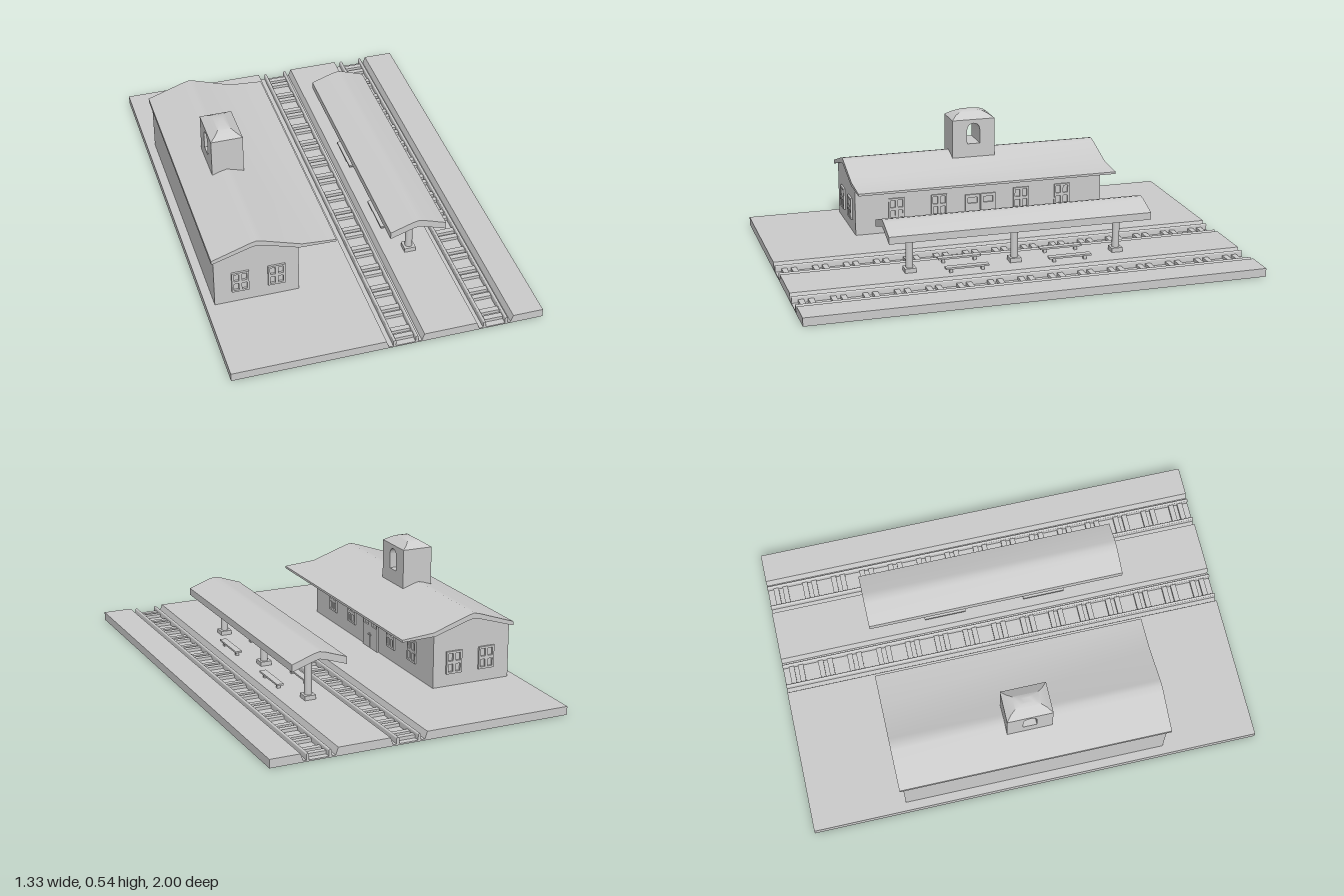
import * as THREE from 'three';
import { toCreasedNormals } from 'three/addons/utils/BufferGeometryUtils.js';

const mat = new THREE.MeshStandardMaterial({ color: 0xcccccc });

function add(parent, name, geo, x = 0, y = 0, z = 0) {
  const m = new THREE.Mesh(geo, mat);
  m.name = name;
  m.position.set(x, y, z);
  parent.add(m);
  return m;
}
const box = (parent, name, w, h, d, x, y, z) => add(parent, name, new THREE.BoxGeometry(w, h, d), x, y, z);
const shapeOf = (pts) => new THREE.Shape(pts.map(([x, y]) => new THREE.Vector2(x, y)));

// extrude an xy outline along z, centred on z = 0
function extrude(shape, depth) {
  const g = new THREE.ExtrudeGeometry(shape, { depth, bevelEnabled: false, curveSegments: 8 });
  g.translate(0, 0, -depth / 2);
  return toCreasedNormals(g, 0.5);
}

function rectPath(x0, y0, x1, y1) {
  return new THREE.Path([[x0, y0], [x0, y1], [x1, y1], [x1, y0]].map(([x, y]) => new THREE.Vector2(x, y)));
}

// four-pane window frame, facing +z
function windowGeometry() {
  const w = 0.037, h = 0.05;
  const s = shapeOf([[-w, -h], [w, -h], [w, h], [-w, h]]);
  for (const x of [-1, 1]) for (const y of [-1, 1]) {
    const cx = x * 0.0175, cy = y * 0.024;
    s.holes.push(rectPath(cx - 0.011, cy - 0.017, cx + 0.011, cy + 0.017));
  }
  return extrude(s, 0.014);
}

// one door leaf with an upper pane, facing +z
function doorGeometry() {
  const s = shapeOf([[-0.035, 0], [0.035, 0], [0.035, 0.146], [-0.035, 0.146]]);
  s.holes.push(rectPath(-0.022, 0.105, 0.022, 0.132));
  return extrude(s, 0.012);
}

// tapering rectangular roof from rings of [halfX, halfZ, y]
function hipRoof(rings) {
  const pos = [];
  const corner = ([hx, hz, y], k) => [[hx, y, hz], [hx, y, -hz], [-hx, y, -hz], [-hx, y, hz]][k % 4];
  for (let i = 0; i < rings.length - 1; i++) for (let k = 0; k < 4; k++) {
    const a = corner(rings[i], k), b = corner(rings[i], k + 1);
    const c = corner(rings[i + 1], k + 1), d = corner(rings[i + 1], k);
    pos.push(...a, ...b, ...c, ...a, ...c, ...d);
  }
  const [p, q, r, s] = [0, 1, 2, 3].map((k) => corner(rings[rings.length - 1], k));
  pos.push(...p, ...q, ...r, ...p, ...r, ...s);
  const g = new THREE.BufferGeometry();
  g.setAttribute('position', new THREE.Float32BufferAttribute(pos, 3));
  return toCreasedNormals(g, 0.6);
}

function buildStation() {
  const g = new THREE.Group();
  g.name = 'stationHouse';
  // gabled walls
  add(g, 'walls', extrude(shapeOf([[-0.629, 0.03], [-0.265, 0.03], [-0.265, 0.278], [-0.447, 0.338], [-0.629, 0.28]]), 1.166));
  // roof running out into a flatter awning
  add(g, 'roof', extrude(shapeOf([
    [-0.64, 0.271], [-0.475, 0.323], [-0.447, 0.329], [-0.42, 0.323], [-0.265, 0.274], [-0.107, 0.27],
    [-0.107, 0.28], [-0.255, 0.291], [-0.42, 0.346], [-0.447, 0.353], [-0.475, 0.346], [-0.64, 0.289],
  ]), 1.2));
  // curved awning brackets
  const curve = new THREE.QuadraticBezierCurve3(
    new THREE.Vector3(-0.267, 0.243, 0), new THREE.Vector3(-0.22, 0.242, 0), new THREE.Vector3(-0.208, 0.275, 0));
  for (const z of [-0.5, -0.3, -0.1, 0.1, 0.3, 0.5])
    add(g, 'awningBracket', new THREE.TubeGeometry(curve, 8, 0.006, 6), 0, 0, z);
  // gable windows at both ends
  const win = windowGeometry();
  for (const x of [-0.518, -0.362]) for (const z of [-0.585, 0.585]) add(g, 'gableWindow', win, x, 0.143, z);
  // platform-side windows and double door
  for (const z of [-0.393, -0.195, 0.195, 0.393])
    add(g, 'platformWindow', win, -0.265, 0.147, z).rotation.y = Math.PI / 2;
  const door = doorGeometry();
  for (const s of [-1, 1]) {
    add(g, 'doorLeaf', door, -0.264, 0.037, s * 0.037).rotation.y = Math.PI / 2;
    add(g, 'doorKnob', new THREE.SphereGeometry(0.004, 8, 6), -0.256, 0.1, s * 0.01);
  }
  // tower with an arched opening right through
  const face = shapeOf([[-0.1, 0.31], [0.1, 0.31], [0.1, 0.506], [-0.1, 0.506]]);
  const arch = new THREE.Path();
  arch.moveTo(-0.03, 0.392);
  arch.lineTo(0.03, 0.392);
  arch.lineTo(0.03, 0.458);
  arch.absarc(0, 0.458, 0.03, 0, Math.PI, false);
  arch.closePath();
  face.holes.push(arch);
  add(g, 'tower', extrude(face, 0.14), -0.44).rotation.y = Math.PI / 2;
  add(g, 'towerRoof', hipRoof([[0.07, 0.1, 0.506], [0.045, 0.078, 0.522], [0.028, 0.056, 0.533], [0.016, 0.03, 0.54], [0.01, 0.012, 0.542]]), -0.44);
  return g;
}

function buildTrack(x) {
  const g = new THREE.Group();
  g.name = 'track';
  g.position.x = x;
  for (const s of [-1, 1]) {
    // rail with a rounded head
    const r = new THREE.Shape();
    r.moveTo(-0.006, 0.004);
    r.lineTo(0.006, 0.004);
    r.lineTo(0.006, 0.028);
    r.absarc(0, 0.028, 0.006, 0, Math.PI, false);
    add(g, 'rail', extrude(r, 2), s * 0.048);
  }
  // sleepers in close pairs
  for (let i = 0; i < 15; i++) for (const s of [-1, 1])
    box(g, 'sleeper', 0.1, 0.016, 0.024, 0, 0.012, -0.94 + i * 0.1343 + s * 0.021);
  return g;
}

function buildCanopy() {
  const g = new THREE.Group();
  g.name = 'platformCanopy';
  g.position.x = 0.261;
  add(g, 'canopyRoof', extrude(shapeOf([
    [-0.123, 0.207], [-0.025, 0.24], [0, 0.246], [0.025, 0.24], [0.123, 0.207],
    [0.123, 0.239], [0.025, 0.273], [0, 0.278], [-0.025, 0.273], [-0.123, 0.239],
  ]), 1.16));
  for (const z of [-0.465, 0, 0.465]) {
    add(g, 'canopyPost', new THREE.CylinderGeometry(0.016, 0.016, 0.205, 16), 0, 0.1425, z);
    box(g, 'postBase', 0.05, 0.022, 0.05, 0, 0.045, z);
  }
  // backless benches on both sides of the posts
  for (const x of [-0.064, 0.064]) for (const z of [-0.23, 0.23]) {
    box(g, 'benchSeat', 0.03, 0.008, 0.19, x, 0.058, z);
    for (const s of [-1, 1]) box(g, 'benchLeg', 0.014, 0.022, 0.014, x, 0.044, z + s * 0.07);
  }
  return g;
}

export function createModel() {
  const model = new THREE.Group();
  model.name = 'railwayStation';
  // ground slab with two track troughs
  const T = 0.037, B = 0.006;
  add(model, 'ground', extrude(shapeOf([
    [-0.667, 0], [0.667, 0], [0.667, T], [0.536, T], [0.525, B], [0.387, B], [0.376, T],
    [0.148, T], [0.137, B], [-0.004, B], [-0.015, T], [-0.667, T],
  ]), 2));
  model.add(buildTrack(0.068), buildTrack(0.458), buildStation(), buildCanopy());
  return model;
}
